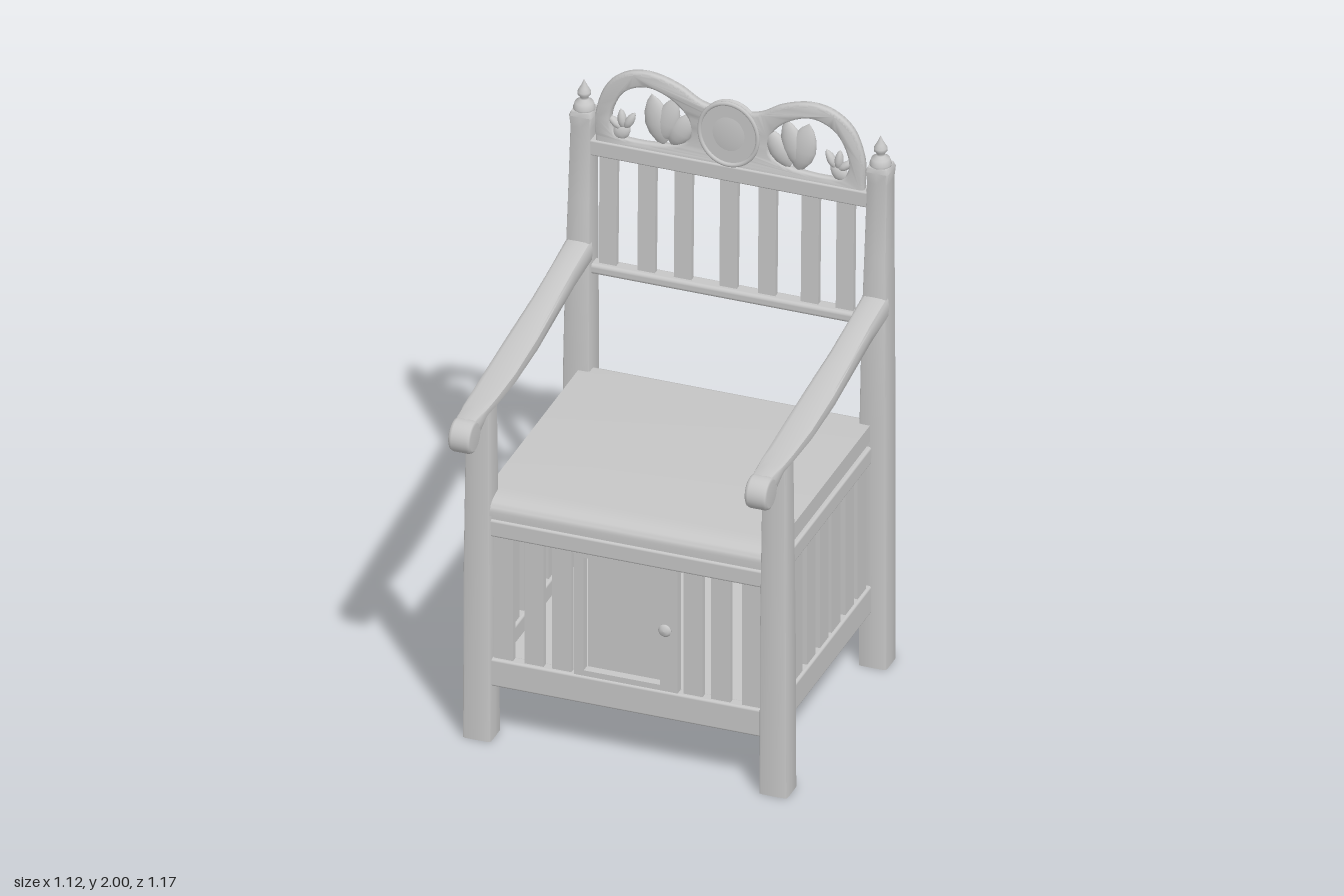
import * as THREE from 'three';
import { toCreasedNormals } from 'three/addons/utils/BufferGeometryUtils.js';
import { RoundedBoxGeometry } from 'three/addons/geometries/RoundedBoxGeometry.js';

const wood = new THREE.MeshStandardMaterial({ color: 0xc6c6c6 });
wood.name = 'greyWood';

// Closed solid through rounded rectangles; each section is [s, u0, u1, v0, v1]
function loft(sections, place, power = 0.2, n = 16) {
  const rings = sections.map(([s, u0, u1, v0, v1]) => {
    const ring = [];
    for (let j = 0; j < n; j++) {
      const a = (j / n) * Math.PI * 2, c = Math.cos(a), d = Math.sin(a);
      const e = (t) => (Math.abs(t) < 1e-6 ? 0 : Math.sign(t) * Math.abs(t) ** power);
      ring.push(place((u0 + u1) / 2 + (e(c) * (u1 - u0)) / 2, s, (v0 + v1) / 2 + (e(d) * (v1 - v0)) / 2));
    }
    return ring;
  });
  const pos = [];
  const tri = (...p) => p.forEach((q) => pos.push(...q));
  for (let i = 0; i + 1 < rings.length; i++) {
    for (let j = 0; j < n; j++) {
      const k = (j + 1) % n, A = rings[i], B = rings[i + 1];
      tri(A[j], B[j], A[k]);
      tri(A[k], B[j], B[k]);
    }
  }
  const end = rings[rings.length - 1];
  for (let j = 1; j + 1 < n; j++) {
    tri(rings[0][0], rings[0][j], rings[0][j + 1]);
    tri(end[0], end[j + 1], end[j]);
  }
  const g = new THREE.BufferGeometry();
  g.setAttribute('position', new THREE.Float32BufferAttribute(pos, 3));
  return toCreasedNormals(g, 0.6);
}

const lathe = (pts, n = 24) =>
  new THREE.LatheGeometry(pts.map(([r, y]) => new THREE.Vector2(r, y)), n);

export function createModel() {
  const model = new THREE.Group();
  model.name = 'armchair';
  const add = (name, geo, x = 0, y = 0, z = 0) => {
    const m = new THREE.Mesh(geo, wood);
    m.name = name;
    m.position.set(x, y, z);
    model.add(m);
    return m;
  };
  // Box from its limits
  const box = (name, x0, x1, y0, y1, z0, z1, r = 0) => {
    const s = [x1 - x0, y1 - y0, z1 - z0];
    const g = r ? new RoundedBoxGeometry(...s, 3, r) : new THREE.BoxGeometry(...s);
    return add(name, g, (x0 + x1) / 2, (y0 + y1) / 2, (z0 + z1) / 2);
  };

  // Legs, arms and finials, on both sides
  const upright = (u, s, v) => [u, s, v];
  const along = (u, s, v) => [v, u, s];
  for (const side of [-1, 1]) {
    const cx = 0.508 * side;
    const sec = (y, w, z0, z1) => [y, cx - w, cx + w, z0, z1];
    add('backLeg', loft([
      sec(0, 0.049, -0.56, -0.465), sec(0.9, 0.047, -0.563, -0.467), sec(1.25, 0.043, -0.57, -0.475),
      sec(1.5, 0.039, -0.575, -0.49), sec(1.76, 0.036, -0.58, -0.507), sec(1.8, 0.04, -0.583, -0.503),
      sec(1.815, 0.034, -0.578, -0.508),
    ], upright));
    add('frontLeg', loft([
      sec(0, 0.049, 0.328, 0.422), sec(0.6, 0.047, 0.328, 0.422), sec(1.22, 0.041, 0.335, 0.412),
    ], upright));
    const arm = (z, top, bottom, w) => [z, bottom, top, cx - w, cx + w];
    add('arm', loft([
      arm(-0.5, 1.36, 1.275, 0.045), arm(-0.35, 1.333, 1.258, 0.043), arm(-0.2, 1.304, 1.237, 0.045),
      arm(0, 1.272, 1.215, 0.051), arm(0.2, 1.247, 1.202, 0.051), arm(0.35, 1.237, 1.201, 0.046),
      arm(0.43, 1.235, 1.201, 0.042), arm(0.475, 1.235, 1.17, 0.039), arm(0.53, 1.234, 1.15, 0.037),
    ], along, 0.4));
    add('armScroll', lathe([[0, -0.038], [0.045, -0.038], [0.052, -0.034], [0.056, -0.025],
      [0.056, 0.025], [0.052, 0.034], [0.045, 0.038], [0, 0.038]], 32), cx, 1.179, 0.528).rotation.z = Math.PI / 2;
    add('finial', lathe([[0, 0], [0.034, 0], [0.036, 0.015], [0.03, 0.034], [0.014, 0.045], [0.013, 0.052],
      [0.022, 0.062], [0.022, 0.072], [0.015, 0.085], [0.007, 0.1], [0, 0.117]]), cx, 1.805, -0.543);
  }

  // Seat with a rounded front edge
  const seat = new THREE.Shape();
  seat.moveTo(-0.515, 0.83);
  seat.lineTo(0.413, 0.83);
  seat.lineTo(0.413, 0.845);
  seat.quadraticCurveTo(0.413, 0.889, 0.32, 0.89);
  seat.lineTo(-0.495, 0.89);
  seat.quadraticCurveTo(-0.515, 0.89, -0.515, 0.87);
  const seatGeo = new THREE.ExtrudeGeometry(seat, { depth: 1, bevelEnabled: false, curveSegments: 10 });
  seatGeo.translate(0, 0, -0.5).rotateY(-Math.PI / 2);
  add('seat', toCreasedNormals(seatGeo, 0.6));
  box('seatGroove', -0.49, 0.49, 0.805, 0.835, -0.505, 0.4);

  // Base rails, floor and back panel
  for (const [name, y0, y1] of [['upperRail', 0.75, 0.812], ['lowerRail', 0.2, 0.3]]) {
    box(name, -0.48, 0.48, y0, y1, 0.365, 0.408, 0.008);
    box(name, -0.48, 0.48, y0, y1, -0.52, -0.475, 0.008);
    for (const s of [-1, 1]) box(name, s * 0.485 - 0.02, s * 0.485 + 0.02, y0, y1, -0.49, 0.36, 0.008);
  }
  box('floor', -0.47, 0.47, 0.215, 0.24, -0.48, 0.37);
  box('backPanel', -0.47, 0.47, 0.29, 0.76, -0.508, -0.488);

  // Side slats
  for (const z of [0.272, 0.16, 0.042, -0.073, -0.178, -0.3, -0.41])
    for (const s of [-1, 1]) box('sideSlat', s * 0.485 - 0.01, s * 0.485 + 0.01, 0.29, 0.76, z - 0.038, z + 0.038);

  // Front slats, door frame, sunken door panel and knob
  for (const s of [-1, 1])
    for (const x of [0.425, 0.32, 0.225]) box('frontSlat', s * x - 0.033, s * x + 0.033, 0.29, 0.76, 0.375, 0.395);
  box('doorStile', -0.18, -0.147, 0.3, 0.75, 0.372, 0.402);
  box('doorStile', 0.115, 0.175, 0.3, 0.75, 0.372, 0.402);
  box('doorRail', -0.15, 0.12, 0.735, 0.75, 0.372, 0.402);
  box('doorRail', -0.15, 0.12, 0.3, 0.32, 0.372, 0.402);
  box('doorPanel', -0.15, 0.12, 0.3, 0.75, 0.34, 0.355);
  add('knob', lathe([[0, 0], [0.009, 0], [0.009, 0.008], [0.021, 0.014], [0.022, 0.02], [0.014, 0.027], [0, 0.029]]),
    0.135, 0.53, 0.395).rotation.x = Math.PI / 2;

  // Back rest
  box('backLowerRail', -0.48, 0.48, 1.235, 1.272, -0.55, -0.495, 0.012);
  box('backUpperRail', -0.48, 0.48, 1.665, 1.722, -0.557, -0.507, 0.006);
  for (const x of [-0.417, -0.285, -0.16, -0.004, 0.128, 0.275, 0.395])
    box('backSlat', x - 0.03, x + 0.03, 1.26, 1.68, -0.538, -0.518).rotation.x = -0.02;

  // Crest: two arches with open centres
  const half = [[0.45, 1.74], [0.449, 1.83], [0.415, 1.925], [0.35, 1.978], [0.27, 1.99], [0.18, 1.965], [0.1, 1.92]];
  const v = ([x, y]) => new THREE.Vector2(x, y);
  const flip = ([x, y]) => [-x, y];
  const crest = new THREE.Shape();
  crest.moveTo(-0.45, 1.715);
  crest.lineTo(0.45, 1.715);
  crest.splineThru([...half, [0, 1.905], ...half.map(flip).reverse()].map(v));
  const opening = [[0.2, 1.742], [0.3, 1.732], [0.39, 1.742], [0.417, 1.79], [0.41, 1.85], [0.375, 1.915],
    [0.32, 1.95], [0.26, 1.955], [0.19, 1.925], [0.135, 1.87], [0.125, 1.8], [0.15, 1.762]];
  for (const pts of [opening, opening.map(flip)]) {
    const hole = new THREE.Path(new THREE.SplineCurve([...pts, pts[0]].map(v)).getPoints(48));
    crest.holes.push(hole);
  }
  const crestGeo = new THREE.ExtrudeGeometry(crest, {
    depth: 0.012, bevelSize: 0.01, bevelThickness: 0.01, bevelSegments: 3, curveSegments: 60,
  });
  add('crest', toCreasedNormals(crestGeo, 0.8), 0, 0, -0.535);

  // Oval medallion: flat front, raised rim, domed back
  const disc = add('medallion', new THREE.CylinderGeometry(1, 1, 0.03, 48), 0, 1.84, -0.523);
  disc.rotation.x = Math.PI / 2;
  disc.scale.set(0.1, 1, 0.112);
  add('medallionRim', new THREE.TorusGeometry(0.1, 0.007, 8, 48), 0, 1.84, -0.508).scale.set(1, 1.12, 1);
  add('medallionBack', new THREE.SphereGeometry(1, 32, 20), 0, 1.84, -0.53).scale.set(0.104, 0.116, 0.026);

  // Carved leaves and small buds: x, y, half width, half height, tilt
  const petal = lathe([[0, -1], [0.45, -0.85], [0.85, -0.5], [1, -0.1], [0.85, 0.35], [0.5, 0.72], [0, 1]]);
  for (const s of [-1, 1])
    for (const [name, x, y, w, h, tilt] of [
      ['leaf', 0.25, 1.835, 0.045, 0.092, -0.22], ['leaf', 0.215, 1.84, 0.04, 0.09, 0.3],
      ['leaf', 0.165, 1.815, 0.038, 0.075, 0.55], ['bud', 0.345, 1.81, 0.015, 0.037, 0.5],
      ['bud', 0.372, 1.812, 0.015, 0.037, -0.1], ['bud', 0.395, 1.795, 0.014, 0.034, -0.9],
      ['budStem', 0.372, 1.765, 0.026, 0.037, 0.9],
    ]) {
      const m = add(name, petal, s * x, y, -0.527);
      m.scale.set(w, h, name === 'leaf' ? 0.023 : 0.016);
      m.rotation.z = s * tilt;
    }

  return model;
}
